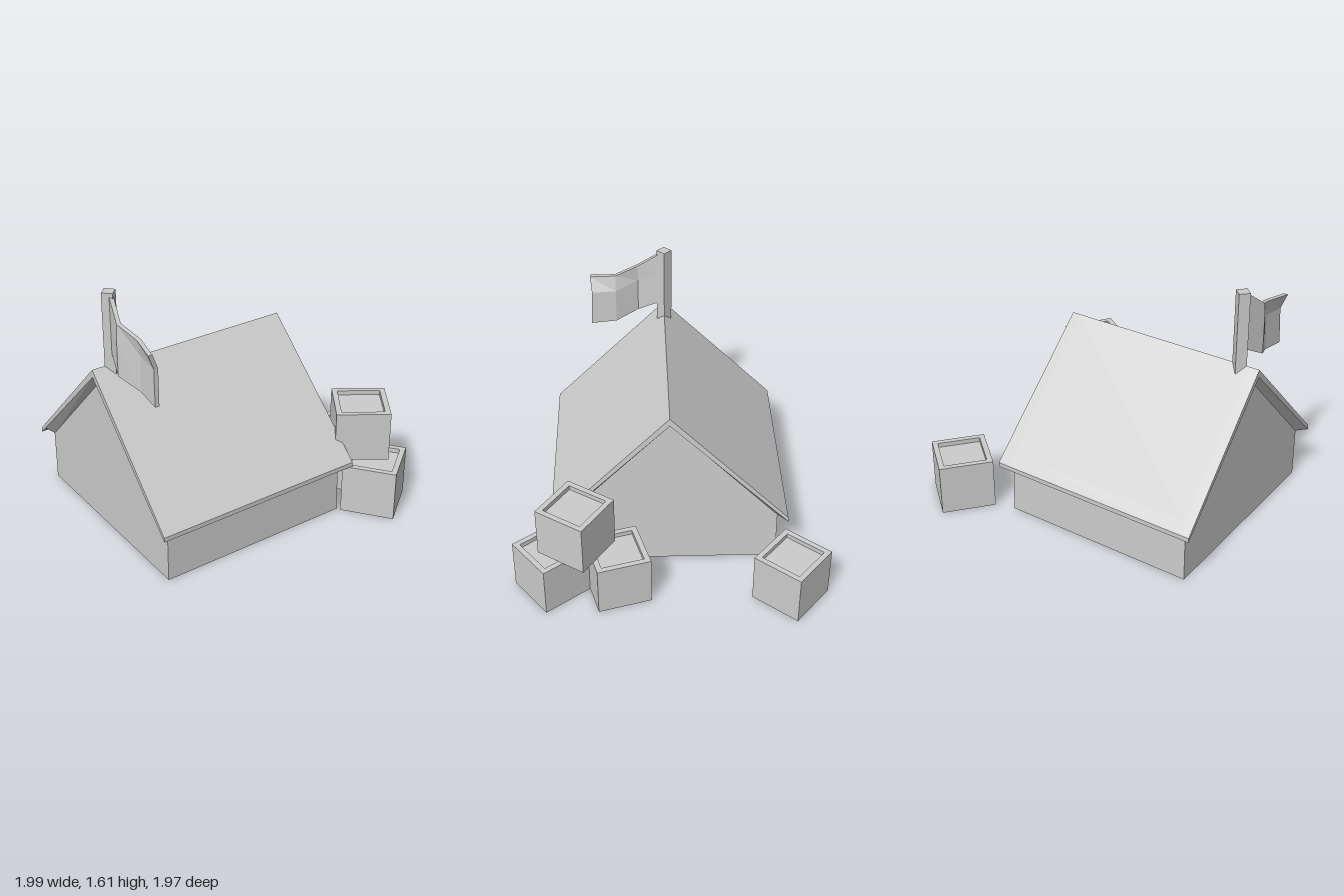
import * as THREE from 'three';

const material = new THREE.MeshStandardMaterial({ color: 0xcccccc, flatShading: true });

function addMesh(parent, geometry, name) {
  const flat = geometry.index ? geometry.toNonIndexed() : geometry;
  flat.computeVertexNormals();
  const mesh = new THREE.Mesh(flat, material);
  mesh.name = name;
  parent.add(mesh);
  return mesh;
}

// Skin a row of matching loops and close both ends.
// Loops run clockwise seen from the first end; point i faces point n-1-i.
function loft(loops) {
  const n = loops[0].length;
  const positions = [];
  const quad = (a, b, c, d) => positions.push(...a, ...b, ...c, ...a, ...c, ...d);
  for (let s = 0; s < loops.length - 1; s++) {
    const p = loops[s], q = loops[s + 1];
    for (let i = 0; i < n; i++) {
      const j = (i + 1) % n;
      quad(p[i], p[j], q[j], q[i]);
    }
  }
  const first = loops[0], last = loops[loops.length - 1];
  for (let i = 0; i < n / 2 - 1; i++) {
    quad(first[i], first[n - 1 - i], first[n - 2 - i], first[i + 1]);
    quad(last[i], last[i + 1], last[n - 2 - i], last[n - 1 - i]);
  }
  const geometry = new THREE.BufferGeometry();
  geometry.setAttribute('position', new THREE.Float32BufferAttribute(positions, 3));
  return geometry;
}

// Ends of the house: the front is upright, the back leans slightly
const wallFront = () => 0.92;
const wallBack = (y) => -0.375 + 0.045 * y;
const roofFront = () => 0.98;
const roofBack = (y) => -0.385 - 0.06 * (1.13 - y);

function wallLoop(zAt) {
  return [[-0.695, 0.345], [0, 1.06], [0.695, 0.345], [0.695, 0], [0, 0], [-0.695, 0]]
    .map(([x, y]) => [x, y, zAt(y)]);
}

// Chevron section; the underside is thinner at the two overhanging ends
function roofLoop(zAt, innerEave, innerApex) {
  const [ex, ey] = innerEave;
  return [
    [-0.757, 0.365], [-0.7, 0.423], [0, 1.13], [0.7, 0.423], [0.757, 0.365],
    [0.757, 0.335], [ex, ey], [0, innerApex], [-ex, ey], [-0.757, 0.335],
  ].map(([x, y]) => [x, y, zAt(y)]);
}

// Square crate with a raised rim round a sunken lid
function addCrate(parent, name, x, y, z, turn) {
  const r = 0.345 / Math.SQRT2, h = 0.333, rim = 0.035 * Math.SQRT2, depth = 0.03;
  const profile = [[0, 0], [r, 0], [r, h], [r - rim, h], [r - rim, h - depth], [0, h - depth]]
    .map(([px, py]) => new THREE.Vector2(px, py));
  const crate = addMesh(parent, new THREE.LatheGeometry(profile, 4, Math.PI / 4), name);
  crate.position.set(x, y, z);
  crate.rotation.y = turn;
}

export function createModel() {
  const model = new THREE.Group();
  model.name = 'house';

  // House body and roof
  addMesh(model, loft([wallLoop(wallFront), wallLoop(wallBack)]), 'walls');
  addMesh(model, loft([
    roofLoop(roofFront, [0.7, 0.39], 1.08),
    roofLoop(wallFront, [0.69, 0.337], 1.045),
    roofLoop(wallBack, [0.69, 0.337], 1.045),
    roofLoop(roofBack, [0.7, 0.39], 1.08),
  ]), 'roof');

  // Flagpole, set corner-on over the ridge
  const pole = addMesh(model, new THREE.CylinderGeometry(0.049, 0.049, 0.53, 4), 'flagpole');
  pole.position.set(0, 1.34, 0.845);

  // Waving flag: columns of [x, y, z] for the top, fold and bottom
  const columns = [
    [[0.03, 1.585, 0.845], [0.03, 1.44, 0.845], [0.03, 1.22, 0.845]],
    [[0.175, 1.475, 0.885], [0.175, 1.365, 0.89], [0.175, 1.14, 0.89]],
    [[0.325, 1.425, 0.845], [0.325, 1.32, 0.825], [0.325, 1.087, 0.83]],
    [[0.495, 1.405, 0.875], [0.485, 1.305, 0.835], [0.495, 1.065, 0.84]],
  ];
  const halfThickness = 0.014;
  const flagLoops = columns.map((column) => [
    ...column.map(([x, y, z]) => [x, y, z + halfThickness]),
    ...column.map(([x, y, z]) => [x, y, z - halfThickness]).reverse(),
  ]);
  addMesh(model, loft(flagLoops), 'flag');

  // Crates behind the house
  addCrate(model, 'singleCrate', -0.755, 0, -0.742, -0.7);
  addCrate(model, 'lowerCrateRight', 0.338, 0, -0.655, 0.276);
  addCrate(model, 'lowerCrateLeft', 0.752, 0, -0.623, -0.918);
  addCrate(model, 'topCrate', 0.588, 0.335, -0.625, -0.592);

  return model;
}
